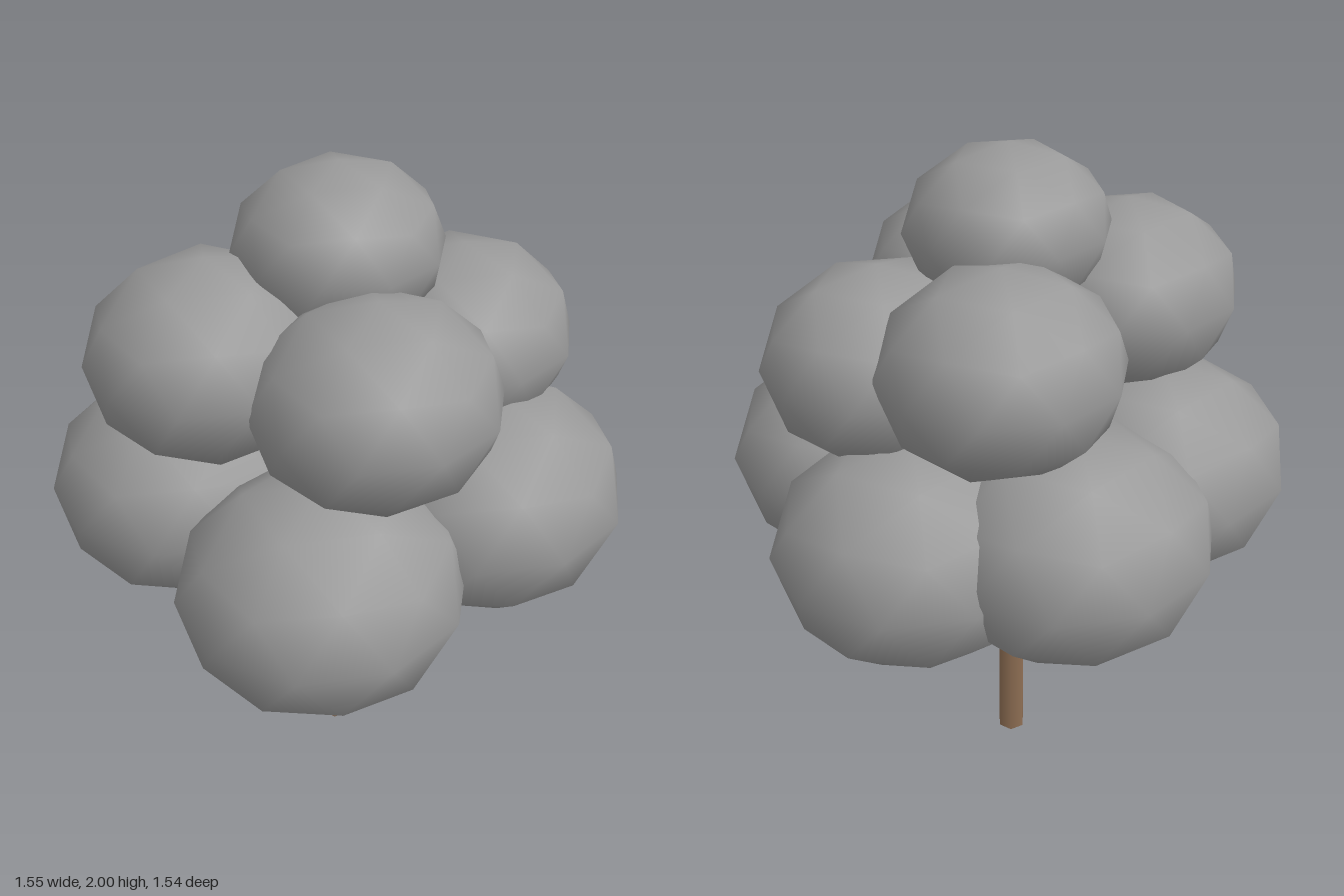
import * as THREE from 'three';

export function createModel() {
  const tree = new THREE.Group();
  tree.name = 'tree';

  const foliage = new THREE.MeshStandardMaterial({ color: 0x999999 });
  foliage.name = 'foliage grey';
  const bark = new THREE.MeshStandardMaterial({ color: 0x8f6f54 });
  bark.name = 'bark brown';

  // Six-sided trunk reaching into the crown
  const trunk = new THREE.Mesh(new THREE.CylinderGeometry(0.045, 0.045, 1.2, 6), bark);
  trunk.name = 'trunk';
  trunk.rotation.y = Math.PI / 6;
  trunk.position.y = 0.6;
  tree.add(trunk);

  // Smooth 80-face ball with one corner turned straight up
  const ball = new THREE.IcosahedronGeometry(1, 1);
  ball.rotateZ(-Math.atan(2 / (1 + Math.sqrt(5))));

  const crown = new THREE.Group();
  crown.name = 'crown';
  tree.add(crown);

  function addClumps(name, radii, centres) {
    centres.forEach(([x, y, z], i) => {
      const clump = new THREE.Mesh(ball, foliage);
      clump.name = name + (i + 1);
      clump.scale.set(...radii);
      clump.position.set(x, y, z);
      crown.add(clump);
    });
  }

  // Lower ring of large clumps
  addClumps('lowerClump', [0.405, 0.335, 0.382], [
    [-0.245, 0.975, 0.39],
    [0.335, 1.035, 0.305],
    [0.389, 0.985, -0.168],
    [0.017, 1.01, -0.39],
    [-0.389, 1.03, -0.178],
  ]);

  // Upper ring of medium clumps
  addClumps('upperClump', [0.337, 0.281, 0.317], [
    [-0.08, 1.5, 0.373],
    [0.36, 1.434, 0.073],
    [0.173, 1.513, -0.273],
    [-0.37, 1.522, -0.003],
  ]);

  // Small clump at the top
  addClumps('topClump', [0.29, 0.232, 0.275], [[-0.005, 1.768, 0.03]]);

  return tree;
}
